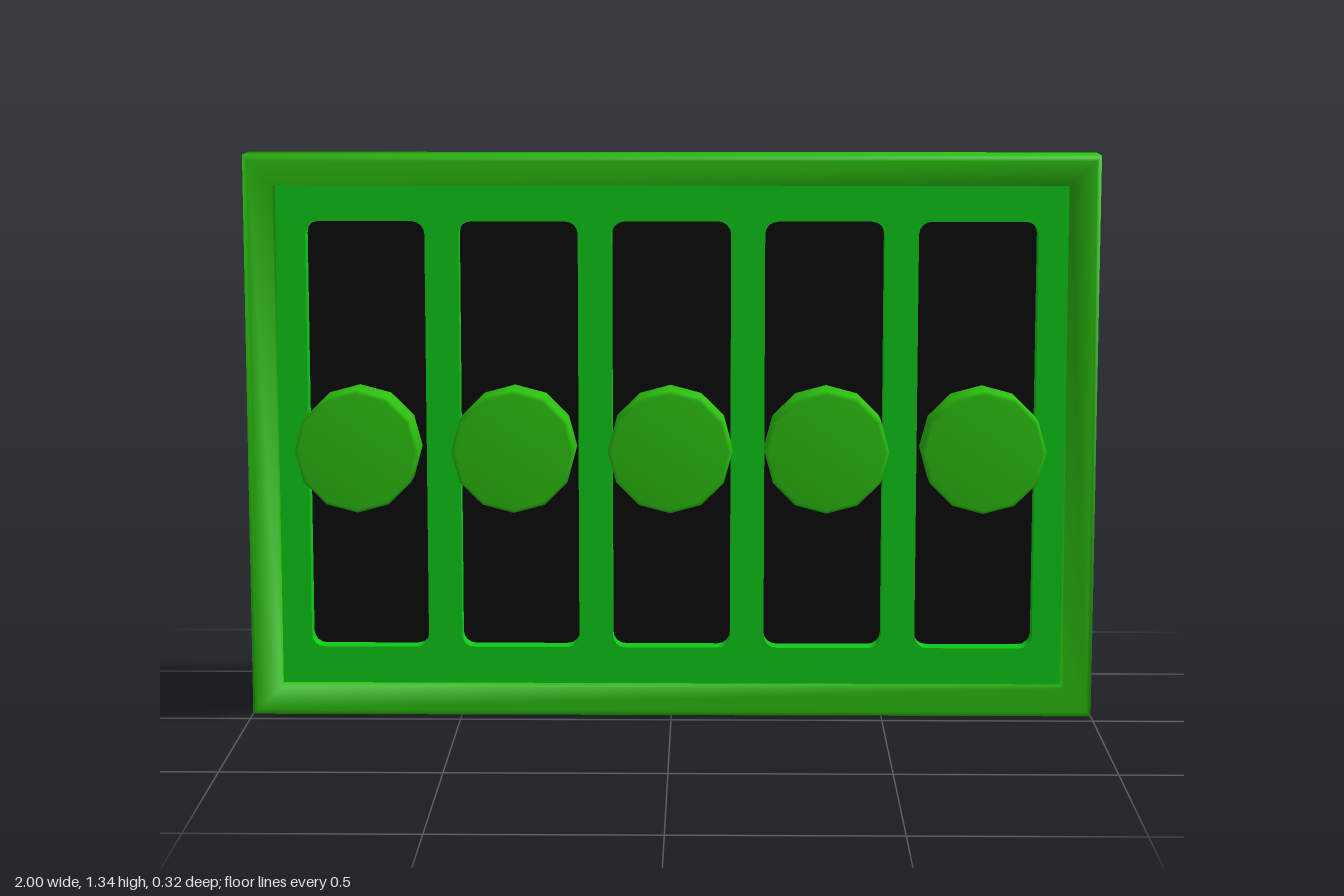
import * as THREE from 'three';

const HEIGHT = 1.335, MID = HEIGHT / 2;
const SHEET_Z = -0.082, WELL_Z = -0.13;
const SLOTS = 5, PITCH = 0.36, SLOT_W = 0.28, SLOT_H = 1.02;

const material = (color) => new THREE.MeshStandardMaterial({ color, side: THREE.DoubleSide });

function addMesh(parent, name, geometry, mat) {
  const mesh = new THREE.Mesh(geometry, mat);
  mesh.name = name;
  parent.add(mesh);
  return mesh;
}

// Skin between successive closed loops of Vector3 with equal point counts
function loft(loops) {
  const n = loops[0].length, index = [];
  for (let k = 0; k < loops.length - 1; k++) {
    for (let i = 0; i < n; i++) {
      const j = (i + 1) % n;
      const a = k * n + i, b = k * n + j, c = b + n, d = a + n;
      index.push(a, b, c, a, c, d);
    }
  }
  const geometry = new THREE.BufferGeometry().setFromPoints(loops.flat());
  geometry.setIndex(index);
  geometry.computeVertexNormals();
  return geometry;
}

// Counter-clockwise rectangle outline, with rounded corners when r > 0
function outline(cx, cy, w, h, r = 0, steps = 4) {
  const points = [];
  [[1, -1], [1, 1], [-1, 1], [-1, -1]].forEach(([sx, sy], corner) => {
    const count = r > 0 ? steps : 0;
    for (let s = 0; s <= count; s++) {
      const angle = (corner - 1 + (count ? s / count : 0)) * Math.PI / 2;
      points.push(new THREE.Vector2(
        cx + sx * (w / 2 - r) + r * Math.cos(angle),
        cy + sy * (h / 2 - r) + r * Math.sin(angle)));
    }
  });
  return points;
}

const atDepth = (points, z) => points.map((p) => new THREE.Vector3(p.x, p.y, z));

export function createModel() {
  const model = new THREE.Group();
  model.name = 'sliderPanel';
  const frameMat = material(0x2cc010);
  const sheetMat = material(0x0fc818);
  const blackMat = material(0x0a0a0a);

  // Open-backed frame: outer wall, rounded front edge, rim, inner lip [inset, z]
  const section = [[0, -0.16], [0, -0.048], [0.004, -0.039], [0.013, -0.035],
    [0.07, -0.035], [0.07, SHEET_Z]];
  addMesh(model, 'frame', loft(section.map(([inset, z]) =>
    atDepth(outline(0, MID, 2 - 2 * inset, HEIGHT - 2 * inset), z))), frameMat);

  // Thin recessed sheet pierced by the slots
  const sheet = new THREE.Shape(outline(0, MID, 1.86, HEIGHT - 0.14));

  // Knob and stem profile [radius, height] from the slot floor outwards
  const knobProfile = [[0.095, 0], [0.095, 0.148], [0.104, 0.154], [0.118, 0.16],
    [0.143, 0.186], [0.143, 0.28], [0.134, 0.29], [0, 0.29]]
    .map(([r, y]) => new THREE.Vector2(r, y));
  const knobGeometry = new THREE.LatheGeometry(knobProfile, 12);
  knobGeometry.rotateX(Math.PI / 2);

  for (let i = 0; i < SLOTS; i++) {
    const x = (i - (SLOTS - 1) / 2) * PITCH;
    const slot = outline(x, MID, SLOT_W, SLOT_H, 0.03);
    sheet.holes.push(new THREE.Path(slot));

    const slider = new THREE.Group();
    slider.name = 'slider' + (i + 1);
    model.add(slider);

    // Well walls reaching back from the sheet, closed by a black floor
    addMesh(slider, 'slotWall', loft([atDepth(slot, SHEET_Z), atDepth(slot, WELL_Z)]), sheetMat);
    addMesh(slider, 'slotFloor', new THREE.ShapeGeometry(new THREE.Shape(slot)), blackMat)
      .position.z = WELL_Z;
    addMesh(slider, 'knob', knobGeometry, frameMat).position.set(x, MID, WELL_Z);
  }

  addMesh(model, 'sheet', new THREE.ShapeGeometry(sheet), sheetMat).position.z = SHEET_Z;
  return model;
}
